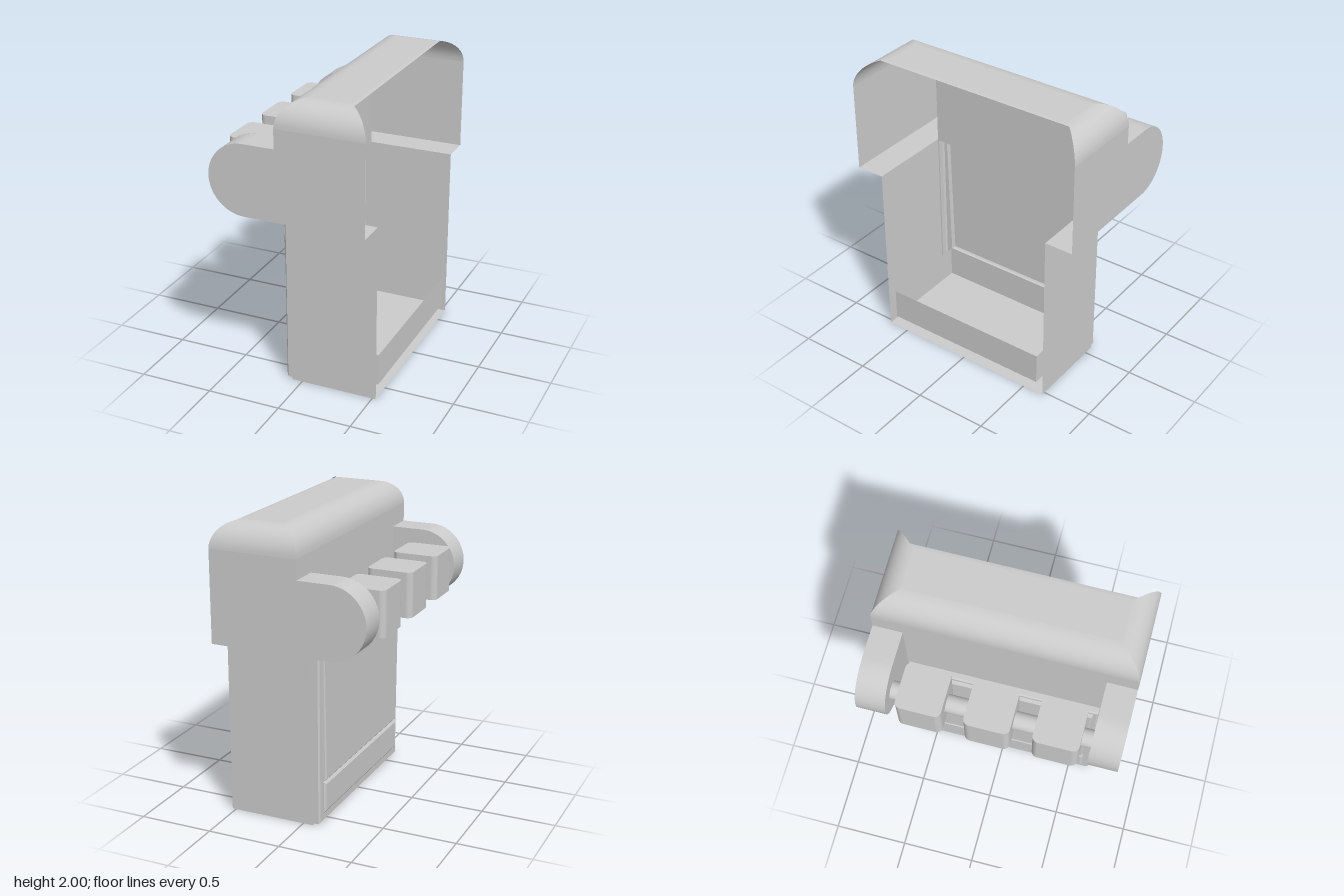
import * as THREE from 'three';

const smooth = new THREE.MeshStandardMaterial({ color: 0xcccccc, side: THREE.DoubleSide });
const flat = new THREE.MeshStandardMaterial({ color: 0xcccccc, side: THREE.DoubleSide, flatShading: true });

// Main dimensions
const BACK = -0.07, OPEN = 0.525; // x of the closed back and of the open side
const HOOD = 0.845, BODY = 0.65;  // half widths along z
const LEDGE = 1.22, ARM_TOP = 1.7, ROOF_START = 1.83, ROOF = 2;
const ARM_R = 0.24, ARM_X = -0.285, ARM_Y = 1.46;

// Surface through rows of points; loops can be closed and the last row capped
function sheet(name, rows, { closed = false, cap = false, material = smooth } = {}) {
  const n = rows[0].length, index = [];
  const steps = closed ? n : n - 1;
  for (let r = 0; r < rows.length - 1; r++) {
    for (let i = 0; i < steps; i++) {
      const a = r * n + i, b = r * n + (i + 1) % n;
      index.push(a, b, a + n, b, b + n, a + n);
    }
  }
  if (cap) {
    const s = (rows.length - 1) * n;
    for (let i = 1; i < n - 1; i++) index.push(s, s + i, s + i + 1);
  }
  const geo = new THREE.BufferGeometry();
  geo.setAttribute('position', new THREE.Float32BufferAttribute(rows.flat(2), 3));
  geo.setIndex(index);
  geo.computeVertexNormals();
  const mesh = new THREE.Mesh(geo, material);
  mesh.name = name;
  return mesh;
}

function plate(name, shape, z) {
  const mesh = new THREE.Mesh(new THREE.ShapeGeometry(shape, 16), smooth);
  mesh.name = name;
  mesh.position.z = z;
  return mesh;
}

// Side outline of an arm, optionally joined to the hood's side wall
function armShape(withHood) {
  const s = new THREE.Shape();
  const end = withHood ? OPEN : BACK;
  s.moveTo(end, LEDGE);
  s.lineTo(ARM_X, LEDGE);
  s.absarc(ARM_X, ARM_Y, ARM_R, -Math.PI / 2, -Math.PI * 1.5, true);
  s.lineTo(BACK, ARM_TOP);
  if (withHood) {
    s.lineTo(BACK, ROOF_START);
    s.lineTo(OPEN, ROOF_START);
  }
  s.closePath();
  return s;
}

function buildHood() {
  const hood = new THREE.Group();
  hood.name = 'hood';

  // Back wall, narrower between the arms
  const wall = (w, y0, y1) => [[[BACK, y0, -w], [BACK, y0, w]], [[BACK, y1, -w], [BACK, y1, w]]];
  hood.add(sheet('hoodBackLower', wall(BODY, LEDGE, ARM_TOP)));
  hood.add(sheet('hoodBackUpper', wall(HOOD, ARM_TOP, ROOF_START)));

  // Hollow arms with ledges beneath the hood's sides
  const rim = [[OPEN, LEDGE], [BACK, LEDGE]];
  for (let i = 0; i <= 20; i++) {
    const a = -Math.PI / 2 - Math.PI * i / 20;
    rim.push([ARM_X + ARM_R * Math.cos(a), ARM_Y + ARM_R * Math.sin(a)]);
  }
  rim.push([BACK, ARM_TOP]);
  for (const s of [1, -1]) {
    hood.add(plate('hoodSide', armShape(true), s * HOOD));
    hood.add(plate('armInnerWall', armShape(false), s * BODY));
    hood.add(sheet('armRim', [BODY, HOOD].map(z => rim.map(([x, y]) => [x, y, s * z]))));
  }

  // Rounded roof with mitred corners, left open towards +x
  const inset = 0.16, N = 10;
  const arc = (from) => Array.from({ length: N + 1 }, (_, k) => {
    const a = from + (Math.PI / 2 - from) * k / N;
    return [inset * (1 - Math.cos(a)), ROOF_START + (ROOF - ROOF_START) * Math.sin(a)];
  });
  const curve = arc(0);
  hood.add(sheet('roofBackCurve', curve.map(([d, y]) =>
    [[BACK + d, y, -HOOD + d], [BACK + d, y, HOOD - d]])));
  for (const s of [1, -1]) {
    hood.add(sheet('roofEndCurve', curve.map(([d, y]) =>
      [[BACK + d, y, s * (HOOD - d)], [OPEN - d, y, s * (HOOD - d)]])));
  }
  hood.add(sheet('roofLip', arc(1.38).map(([d, y]) =>
    [[OPEN - d, y, HOOD - d], [OPEN - d, y, -HOOD + d]])));
  const w = HOOD - inset;
  hood.add(sheet('roofTop', [BACK + inset, OPEN - inset].map(x => [[x, ROOF, -w], [x, ROOF, w]])));
  return hood;
}

function buildBody() {
  const body = new THREE.Group();
  body.name = 'body';

  // Side walls and floor
  body.add(sheet('bodyShell', [BACK, OPEN].map(x =>
    [[x, LEDGE, BODY], [x, 0, BODY], [x, 0, -BODY], [x, LEDGE, -BODY]]), { material: flat }));

  // Embossed back panel with a tapered window
  const ring = (x, y0, y1, wBottom, wTop) =>
    [[x, y0, -wBottom], [x, y0, wBottom], [x, y1, wTop], [x, y1, -wTop]];
  body.add(sheet('backPanel', [
    ring(BACK, 0, LEDGE, BODY, BODY),
    ring(BACK, 0.01, 1.212, 0.641, 0.641),
    ring(-0.105, 0.01, 1.212, 0.641, 0.641),
    ring(-0.115, 0.02, 1.202, 0.631, 0.631),
    ring(-0.115, 0.3, 1.182, 0.59, 0.61),
    ring(-0.13, 0.302, 1.18, 0.588, 0.608),
    ring(-0.137, 0.312, 1.17, 0.578, 0.598),
  ], { closed: true, cap: true, material: flat }));

  // Drawer end showing through the back
  body.add(sheet('drawerEnd', [
    ring(-0.11, 0.077, 0.29, 0.595, 0.595),
    ring(-0.125, 0.077, 0.29, 0.595, 0.595),
    ring(-0.135, 0.092, 0.275, 0.58, 0.58),
  ], { closed: true, cap: true, material: flat }));

  // Open-topped drawer
  const box = y => [[-0.11, y, -0.595], [0.518, y, -0.595], [0.518, y, 0.595], [-0.11, y, 0.595]];
  body.add(sheet('drawer', [box(0.295), box(0.077)], { closed: true, cap: true, material: flat }));
  return body;
}

function buildRail() {
  const rail = new THREE.Group();
  rail.name = 'rail';
  const rod = new THREE.Mesh(new THREE.CylinderGeometry(0.06, 0.06, 1.31, 24), smooth);
  rod.name = 'rod';
  rod.rotation.x = Math.PI / 2;
  rod.position.set(-0.372, 1.47, 0);
  rail.add(rod);

  // Blocks with corners rounded in plan
  const hx = 0.155, hz = 0.147, r = 0.04;
  const plan = new THREE.Shape();
  plan.absarc(hx - r, hz - r, r, 0, Math.PI / 2);
  plan.absarc(r - hx, hz - r, r, Math.PI / 2, Math.PI);
  plan.absarc(r - hx, r - hz, r, Math.PI, Math.PI * 1.5);
  plan.absarc(hx - r, r - hz, r, Math.PI * 1.5, Math.PI * 2);
  const geo = new THREE.ExtrudeGeometry(plan, { depth: 0.3, bevelEnabled: false, curveSegments: 6 });
  geo.rotateX(-Math.PI / 2);
  for (const z of [-0.437, 0, 0.437]) {
    const block = new THREE.Mesh(geo, smooth);
    block.name = 'block';
    block.position.set(-0.373, 1.32, z);
    rail.add(block);
  }
  return rail;
}

export function createModel() {
  const model = new THREE.Group();
  model.name = 'hoodedCabinet';
  model.add(buildHood(), buildBody(), buildRail());
  return model;
}
